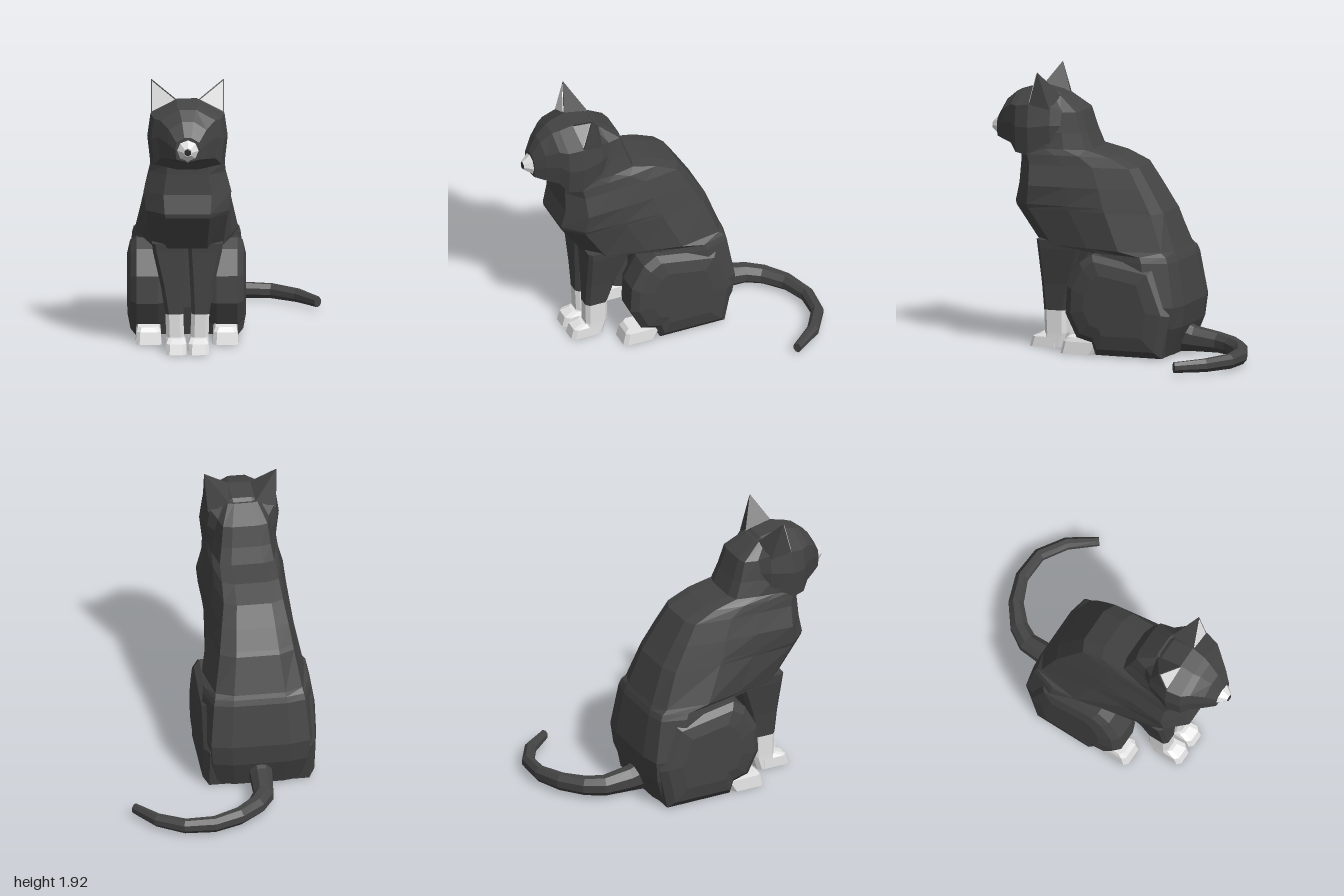
import * as THREE from 'three';

const mat = (name, color) => {
  const m = new THREE.MeshStandardMaterial({ color });
  m.name = name;
  return m;
};

// Joins equal-sized rings of [x, y, z] into a closed, faceted solid facing outwards.
function loft(rings) {
  const n = rings[0].length, tris = [];
  const quad = (a, b, c, d) => tris.push([a, b, c], [a, c, d]);
  for (let i = 0; i < rings.length - 1; i++) {
    for (let j = 0; j < n; j++) {
      const k = (j + 1) % n;
      quad(rings[i][j], rings[i][k], rings[i + 1][k], rings[i + 1][j]);
    }
  }
  const cap = (ring, flip) => {
    const c = [0, 1, 2].map(a => ring.reduce((s, p) => s + p[a], 0) / n);
    ring.forEach((p, j) => {
      const q = ring[(j + 1) % n];
      tris.push(flip ? [c, q, p] : [c, p, q]);
    });
  };
  cap(rings[0], true);
  cap(rings[rings.length - 1], false);
  // a negative volume means the faces point inwards
  const v = p => new THREE.Vector3(...p);
  const volume = tris.reduce((s, [a, b, c]) => s + v(a).dot(v(b).cross(v(c))), 0);
  if (volume < 0) tris.forEach(t => t.reverse());
  const g = new THREE.BufferGeometry();
  g.setAttribute('position', new THREE.Float32BufferAttribute(tris.flat(2), 3));
  g.computeVertexNormals();
  return g;
}

// Completes a half outline (x >= 0) with its mirror image.
const mirrorRing = half => [
  ...half, ...half.slice().reverse().map(([x, y, z]) => [-x, y, z]),
];

// Box-like section at height y with cut corners.
const padRing = (y, x0, x1, z0, z1, c = 0.025) => [
  [x0 + c, y, z1], [x1 - c, y, z1], [x1, y, z1 - c], [x1, y, z0 + c],
  [x1 - c, y, z0], [x0 + c, y, z0], [x0, y, z0 + c], [x0, y, z1 - c],
];

export function createModel() {
  const fur = mat('dark fur', 0x444444);
  const white = mat('white fur', 0xe4e4e4);
  const nose = mat('nose', 0x2c2c2c);

  const model = new THREE.Group();
  model.name = 'sittingCat';
  const cat = new THREE.Group();
  cat.name = 'body';
  cat.position.x = -0.265;
  model.add(cat);
  const add = (name, geometry, material, parent = cat) => {
    const m = new THREE.Mesh(geometry, material);
    m.name = name;
    parent.add(m);
    return m;
  };

  // Torso and neck: [y, front z, back z, front half width, back half width]
  const torso = [
    [0.01, 0.1, -0.38, 0.3, 0.33], [0.21, 0.15, -0.455, 0.33, 0.385],
    [0.36, 0.15, -0.472, 0.34, 0.402], [0.66, 0.15, -0.42, 0.32, 0.37],
    [0.70, 0.17, -0.405, 0.31, 0.36], [0.73, 0.60, -0.39, 0.245, 0.352],
    [0.98, 0.77, -0.3, 0.275, 0.3], [1.01, 0.775, -0.28, 0.285, 0.295],
    [1.14, 0.745, -0.2, 0.3, 0.27], [1.28, 0.74, -0.11, 0.262, 0.24],
    [1.35, 0.74, 0.05, 0.255, 0.23], [1.39, 0.73, 0.23, 0.25, 0.22],
    [1.5, 0.7, 0.275, 0.255, 0.2], [1.64, 0.66, 0.32, 0.24, 0.18],
    [1.74, 0.62, 0.46, 0.19, 0.12],
  ];
  add('torso', loft(torso.map(([y, f, b, wf, wb]) => {
    const d = f - b;
    return mirrorRing([
      [0.55 * wf, y, f], [wf, y, f - 0.12 * d], [(wf + wb) / 2, y, f - 0.4 * d],
      [wb, y, b + 0.35 * d], [0.85 * wb, y, b + 0.05 * d], [0.5 * wb, y, b],
    ]);
  })), fur);

  // Head: [z, bottom y, top y, half width]
  const head = [
    [0.40, 1.42, 1.68, 0.17], [0.50, 1.36, 1.76, 0.24], [0.65, 1.30, 1.79, 0.275],
    [0.75, 1.32, 1.765, 0.25], [0.80, 1.38, 1.75, 0.205],
    [0.88, 1.40, 1.685, 0.14], [0.94, 1.42, 1.585, 0.085],
  ];
  add('head', loft(head.map(([z, b, t, w]) => mirrorRing(
    [[0.28, 1], [0.92, 0.8], [1, 0.48], [0.92, 0.08], [0.3, 0]]
      .map(([u, v]) => [u * w, b + v * (t - b), z])
  )), ), fur);

  // Muzzle and nose
  const muzzle = new THREE.CylinderGeometry(0.03, 0.086, 0.07, 8).toNonIndexed();
  muzzle.rotateX(Math.PI / 2).computeVertexNormals();
  add('muzzle', muzzle, white).position.set(0, 1.495, 0.96);
  const tip = new THREE.CylinderGeometry(0.02, 0.03, 0.008, 6).toNonIndexed();
  tip.rotateX(Math.PI / 2).computeVertexNormals();
  add('nose', tip, nose).position.set(0, 1.495, 0.996);

  for (const s of [1, -1]) {
    const side = s > 0 ? 'left' : 'right';
    const mx = ring => ring.map(([x, y, z]) => [s * x, y, z]);

    // Ear: three-sided base drawn to a point, with a thin pale lining
    const apex = [0.25, 1.92, 0.585];
    const inner = [0.07, 1.785, 0.655], outer = [0.25, 1.69, 0.645];
    const base = [inner, outer, [0.235, 1.66, 0.5], [0.09, 1.74, 0.47]];
    const point = base.map((p, i) => apex.map((a, k) => a + 0.02 * (p[k] - a)));
    add(side + 'Ear', loft([mx(base), mx(point)]), fur);
    const front = [inner, outer, apex];
    const mid = [0, 1, 2].map(k => front.reduce((t, p) => t + p[k], 0) / 3);
    const lining = dz => mx(front.map(p =>
      p.map((c, k) => mid[k] + 0.86 * (c - mid[k]) + (k === 2 ? dz : 0))));
    add(side + 'EarLining', loft([lining(-0.002), lining(0.005)]), white);

    // Front leg, white sock and paw
    add(side + 'FrontLeg', loft([
      mx(padRing(0.76, 0.004, 0.243, 0.26, 0.6)), mx(padRing(0.7, 0.006, 0.235, 0.28, 0.595)),
      mx(padRing(0.45, 0.02, 0.18, 0.37, 0.585)), mx(padRing(0.26, 0.028, 0.15, 0.418, 0.58)),
    ]), fur);
    add(side + 'Sock', loft([
      mx(padRing(0.26, 0.028, 0.15, 0.418, 0.58)), mx(padRing(0.1, 0.022, 0.145, 0.42, 0.575)),
      mx(padRing(0, 0.012, 0.145, 0.45, 0.6)),
    ]), white);
    add(side + 'FrontPaw', loft([
      mx(padRing(0.095, 0.022, 0.13, 0.48, 0.6)), mx(padRing(0.07, 0.008, 0.145, 0.47, 0.665)),
      mx(padRing(0, 0.006, 0.147, 0.47, 0.685)),
    ]), white);

    // Haunch: side outline [z, y] carried outwards and rounded off
    const outline = [
      [0.15, 0.7], [0.24, 0.64], [0.33, 0.47], [0.34, 0.28], [0.26, 0.12],
      [0.15, 0.09], [0.12, 0.005], [-0.36, 0.005], [-0.42, 0.3], [-0.3, 0.62],
    ];
    add(side + 'Haunch', loft([[0.14, 0.94], [0.2, 1], [0.345, 1], [0.385, 0.87], [0.405, 0.6]]
      .map(([x, k]) => mx(outline.map(([z, y]) =>
        [x, 0.36 + k * (y - 0.36), -0.03 + k * (z + 0.03)])))), fur);

    // Hind paw
    add(side + 'HindPaw', loft([
      mx(padRing(0.115, 0.195, 0.335, 0.1, 0.34)), mx(padRing(0.085, 0.18, 0.345, 0.1, 0.365)),
      mx(padRing(0, 0.175, 0.35, 0.15, 0.385)),
    ]), white);
  }

  // Tail curling round on the ground: [x, y, z, half width, half height]
  const tail = [
    [0, 0.12, -0.38, 0.08, 0.11], [0, 0.1, -0.48, 0.075, 0.085], [0.01, 0.085, -0.66, 0.068, 0.068],
    [0.075, 0.08, -0.77, 0.062, 0.063], [0.21, 0.076, -0.885, 0.052, 0.06],
    [0.39, 0.07, -0.955, 0.045, 0.055], [0.59, 0.066, -0.945, 0.042, 0.05],
    [0.765, 0.06, -0.835, 0.04, 0.045], [0.9, 0.055, -0.66, 0.028, 0.036],
  ];
  add('tail', loft(tail.map(([x, y, z, w, h], i) => {
    const a = tail[Math.max(i - 1, 0)], b = tail[Math.min(i + 1, tail.length - 1)];
    const dir = Math.atan2(b[2] - a[2], b[0] - a[0]);
    return Array.from({ length: 8 }, (_, j) => {
      const t = (j + 0.5) * Math.PI / 4, r = w * Math.cos(t) * 1.06;
      return [x - Math.sin(dir) * r, y + h * Math.sin(t) * 1.06, z + Math.cos(dir) * r];
    });
  })), fur);

  return model;
}
